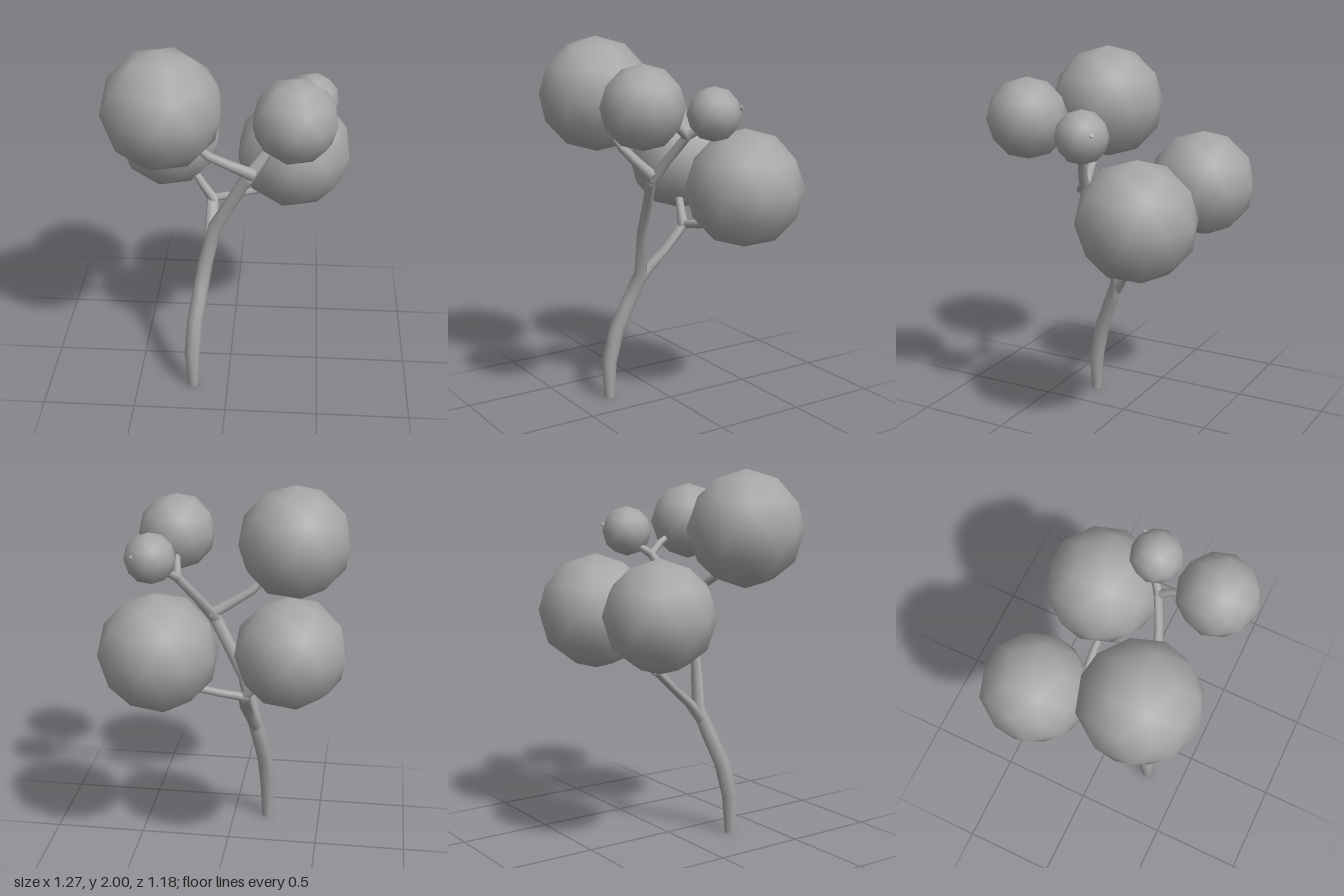
import * as THREE from 'three';

const SIDES = 8;

// Lofted limb: each point is [x, y, z, radius, depth radius]; the ends are capped.
function limbGeometry(points) {
  const centres = points.map((p) => new THREE.Vector3(p[0], p[1], p[2]));
  const last = points.length - 1;
  const whole = centres[last].clone().sub(centres[0]).normalize();
  const ref = Math.abs(whole.x) > 0.7 ? new THREE.Vector3(0, 0, 1) : new THREE.Vector3(1, 0, 0);
  const positions = [];
  const index = [];

  const rings = points.map((p, i) => {
    const t = centres[Math.min(i + 1, last)].clone().sub(centres[Math.max(i - 1, 0)]).normalize();
    if (i === 0 && p[1] === 0) t.set(0, 1, 0); // flat foot on the ground
    const u = ref.clone().addScaledVector(t, -ref.dot(t)).normalize();
    const v = t.clone().cross(u);
    return Array.from({ length: SIDES }, (_, j) => {
      const a = (j / SIDES) * Math.PI * 2;
      return centres[i].clone()
        .addScaledVector(u, Math.cos(a) * p[3])
        .addScaledVector(v, Math.sin(a) * (p[4] ?? p[3]));
    });
  });
  rings.forEach((ring) => ring.forEach((q) => positions.push(q.x, q.y, q.z)));
  for (let i = 0; i < last; i++) {
    for (let j = 0; j < SIDES; j++) {
      const k = (j + 1) % SIDES;
      const a = i * SIDES + j, b = i * SIDES + k;
      index.push(a, b, a + SIDES, b, b + SIDES, a + SIDES);
    }
  }
  // Caps use their own vertices so their edges stay sharp
  [0, last].forEach((i) => {
    const start = positions.length / 3;
    rings[i].forEach((q) => positions.push(q.x, q.y, q.z));
    positions.push(centres[i].x, centres[i].y, centres[i].z);
    for (let j = 0; j < SIDES; j++) {
      const a = start + j, b = start + ((j + 1) % SIDES);
      if (i === 0) index.push(start + SIDES, b, a);
      else index.push(start + SIDES, a, b);
    }
  });

  const geometry = new THREE.BufferGeometry();
  geometry.setAttribute('position', new THREE.Float32BufferAttribute(positions, 3));
  geometry.setIndex(index);
  geometry.computeVertexNormals();
  return geometry;
}

export function createModel() {
  const tree = new THREE.Group();
  tree.name = 'tree';
  const grey = new THREE.MeshStandardMaterial({ color: 0xa6a6a6 });
  grey.name = 'plain grey';

  // Trunk and branches
  const limbs = {
    trunk: [
      [-0.195, 0, 0.285, 0.029], [-0.197, 0.21, 0.28, 0.043], [-0.182, 0.4, 0.236, 0.043],
      [-0.155, 0.56, 0.17, 0.041], [-0.13, 0.71, 0.112, 0.04, 0.034],
      [-0.075, 0.95, 0.135, 0.037, 0.023], [0.02, 1.13, 0.16, 0.035, 0.02],
      [0.105, 1.29, 0.185, 0.036, 0.022],
    ],
    rearBranch: [
      [-0.142, 0.66, 0.125, 0.036], [-0.115, 0.75, 0.06, 0.034, 0.026],
      [-0.108, 0.84, -0.04, 0.038, 0.02], [-0.11, 0.965, -0.165, 0.034, 0.024],
    ],
    rearRightBranch: [
      [-0.13, 0.955, -0.16, 0.024], [0.02, 0.98, -0.172, 0.022], [0.14, 1.005, -0.18, 0.02],
      [0.22, 1.03, -0.19, 0.018],
    ],
    rearLeftBranch: [
      [-0.1, 0.945, -0.15, 0.03], [-0.165, 1.03, -0.175, 0.024], [-0.25, 1.15, -0.21, 0.02],
    ],
    frontLeftBranch: [
      [0.125, 1.29, 0.18, 0.034], [0, 1.36, 0.21, 0.027], [-0.1, 1.42, 0.235, 0.024],
      [-0.17, 1.49, 0.26, 0.018],
    ],
    upperRightBranch: [
      [0.09, 1.26, 0.182, 0.036, 0.022], [0.185, 1.39, 0.142, 0.03, 0.02],
      [0.29, 1.53, 0.085, 0.027, 0.022],
    ],
    frontRightTwig: [
      [0.285, 1.515, 0.08, 0.024], [0.3, 1.585, 0.16, 0.02], [0.31, 1.63, 0.24, 0.016],
    ],
    smallCrownTwig: [
      [0.28, 1.52, 0.09, 0.024], [0.39, 1.61, 0.0, 0.018], [0.505, 1.685, -0.095, 0.012],
    ],
  };
  for (const [name, points] of Object.entries(limbs)) {
    const limb = new THREE.Mesh(limbGeometry(points), grey);
    limb.name = name;
    tree.add(limb);
  }

  // Round leaf crowns: [name, x, y, z, radius]
  const crowns = [
    ['frontLeftCrown', -0.325, 1.69, 0.268, 0.31],
    ['rearLeftCrown', -0.36, 1.28, -0.3, 0.29],
    ['rearRightCrown', 0.33, 1.227, -0.25, 0.316],
    ['frontRightCrown', 0.335, 1.697, 0.378, 0.213],
    ['smallCrown', 0.417, 1.648, 0.012, 0.139],
  ];
  // Tilted so that one corner of the ball points straight up
  const ball = new THREE.IcosahedronGeometry(1, 1);
  ball.rotateZ(-Math.atan2(2, 1 + Math.sqrt(5)));
  for (const [name, x, y, z, r] of crowns) {
    const crown = new THREE.Mesh(ball, grey);
    crown.name = name;
    crown.position.set(x, y, z);
    crown.scale.setScalar(r);
    tree.add(crown);
  }
  return tree;
}
